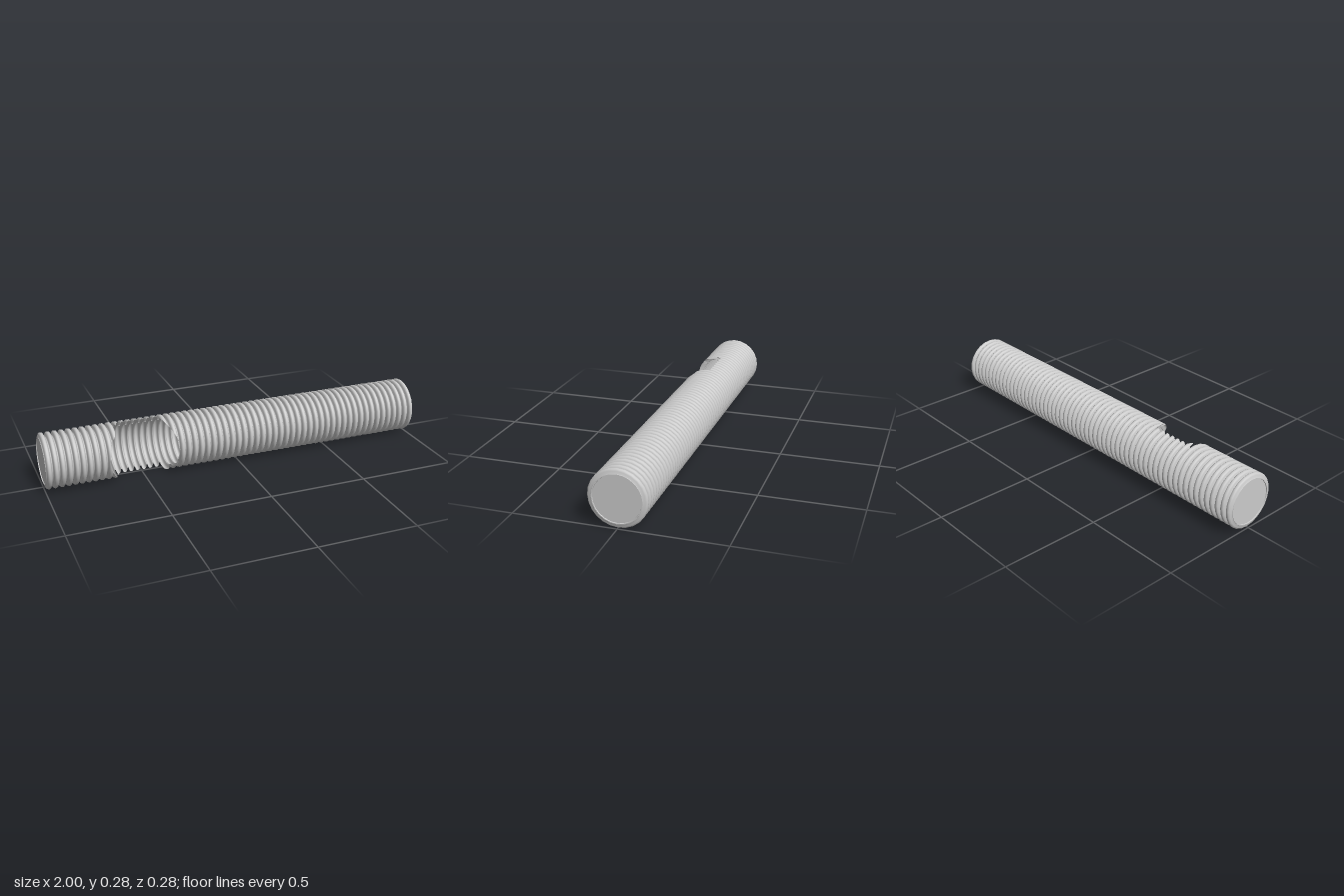
import * as THREE from 'three';
import { toCreasedNormals } from 'three/addons/utils/BufferGeometryUtils.js';

const RADIUS = 0.14, SIDES = 24, RIBS = 60, PITCH = 2 / RIBS;
const WINDOW = { x: -0.51, radius: 0.178, back: -0.01 };

// One rib: position along the pitch, radius
const RIB = [
  [0, 0.118], [0.1, 0.119], [0.15, 0.13], [0.26, 0.137], [0.4, 0.14],
  [0.6, 0.14], [0.74, 0.137], [0.85, 0.13], [0.9, 0.119],
];

// Half angle of the opening (measured from +z) for a ring of radius r at x
function openingAngle(x, r) {
  const h2 = WINDOW.radius ** 2 - (x - WINDOW.x) ** 2;
  if (h2 <= 0) return 0;
  const h = Math.sqrt(h2);
  return h < r ? Math.asin(h / r) : Math.acos(WINDOW.back / r);
}

// Ribbed wall swept along x, each ring opened where the round window cuts it
function ribbedWall() {
  const profile = [];
  for (let i = 0; i < RIBS; i++) {
    for (const [u, r] of RIB) profile.push([-1 + (i + u) * PITCH, r]);
  }
  profile.push([1, RIB[0][1]]);

  const positions = [], normals = [], indices = [];
  const row = SIDES + 1;
  const opening = profile.map(([x, r]) => openingAngle(x, r));
  profile.forEach(([x, r], i) => {
    const before = profile[Math.max(i - 1, 0)];
    const after = profile[Math.min(i + 1, profile.length - 1)];
    const slope = (after[1] - before[1]) / (after[0] - before[0]);
    const len = Math.hypot(1, slope);
    for (let j = 0; j <= SIDES; j++) {
      const a = THREE.MathUtils.clamp(j / SIDES * Math.PI * 2, opening[i], Math.PI * 2 - opening[i]);
      positions.push(x, r * Math.sin(a), r * Math.cos(a));
      normals.push(-slope / len, Math.sin(a) / len, Math.cos(a) / len);
    }
  });

  // Skip cells that lie wholly inside the window
  const step = Math.PI * 2 / SIDES;
  for (let i = 0; i < profile.length - 1; i++) {
    const cut = Math.min(opening[i], opening[i + 1]);
    for (let j = 0; j < SIDES; j++) {
      const outer = Math.max((j + 1) * step, 0);
      const inside = cut > 0 && (outer <= cut || j * step >= Math.PI * 2 - cut);
      if (inside) continue;
      const a = i * row + j, b = a + row;
      indices.push(a, b, b + 1, a, b + 1, a + 1);
    }
  }
  const geometry = new THREE.BufferGeometry();
  geometry.setAttribute('position', new THREE.Float32BufferAttribute(positions, 3));
  geometry.setAttribute('normal', new THREE.Float32BufferAttribute(normals, 3));
  geometry.setIndex(indices);
  return geometry;
}

// Shallow recessed disc with a narrow rim
function endCap() {
  const points = [[0, 0.996], [0.113, 0.996], [0.114, 1], [0.118, 1]]
    .map(([r, y]) => new THREE.Vector2(r, y));
  return toCreasedNormals(new THREE.LatheGeometry(points, SIDES), 0.5);
}

export function createModel() {
  const group = new THREE.Group();
  group.name = 'corrugatedPipe';
  const material = new THREE.MeshStandardMaterial({ color: 0xcccccc, side: THREE.DoubleSide });

  const wall = new THREE.Mesh(ribbedWall(), material);
  wall.name = 'ribbedWall';
  wall.position.y = RADIUS;
  group.add(wall);

  const capGeometry = endCap();
  for (const side of [1, -1]) {
    const cap = new THREE.Mesh(capGeometry, material);
    cap.name = side > 0 ? 'leftEndCap' : 'rightEndCap';
    cap.position.y = RADIUS;
    cap.rotation.z = -side * Math.PI / 2;
    group.add(cap);
  }
  return group;
}
